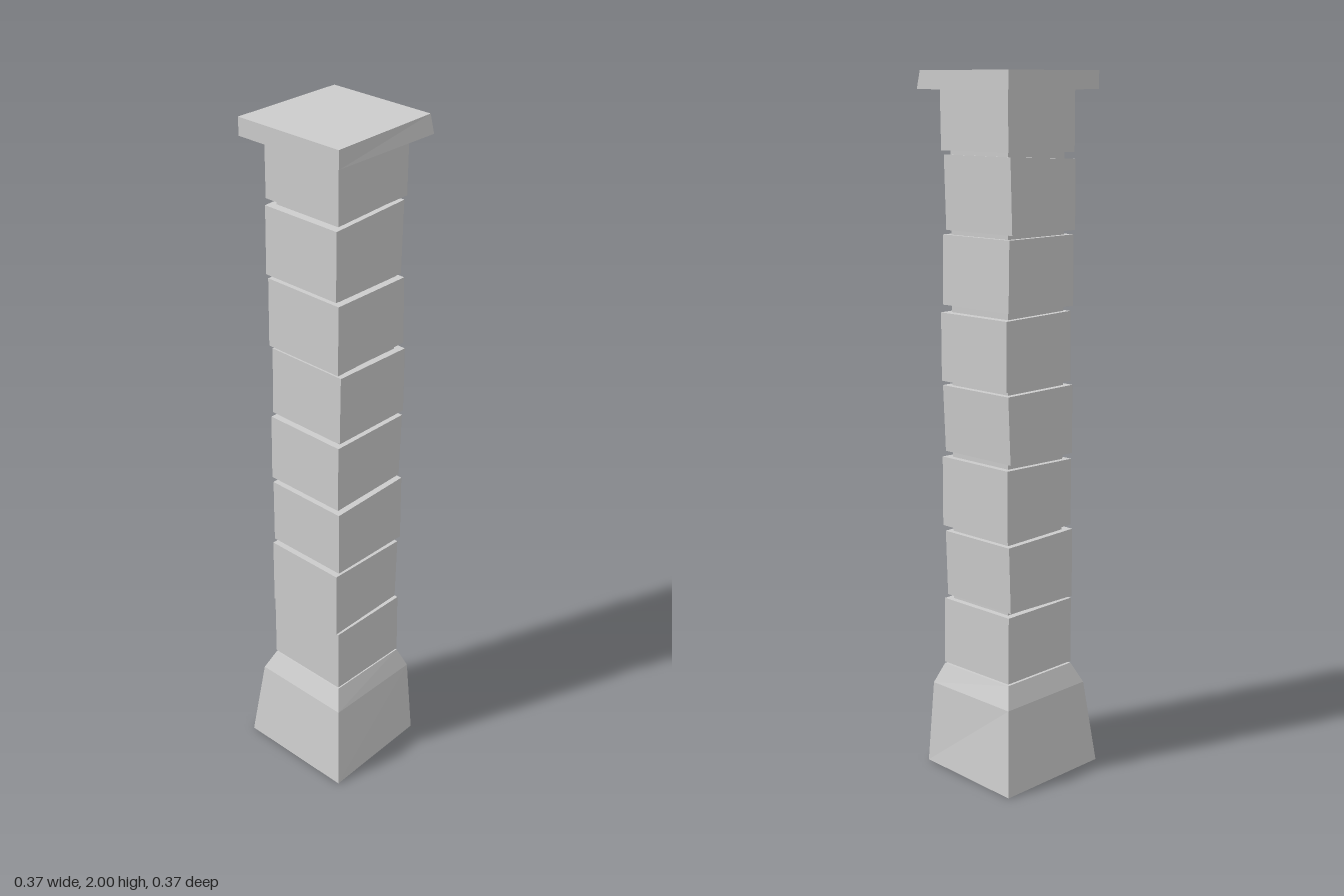
import * as THREE from 'three';

const material = new THREE.MeshStandardMaterial({ color: 0xcccccc, flatShading: true });

// Stack of four-cornered rings, lowest first. Corners run front-left, front-right, back-right, back-left.
function hewnStone(name, rings) {
  const pos = [];
  const quad = (a, b, c, d) => pos.push(...a, ...b, ...c, ...a, ...c, ...d);
  for (let i = 0; i < rings.length - 1; i++) {
    const lo = rings[i], hi = rings[i + 1];
    for (let k = 0; k < 4; k++) {
      const n = (k + 1) % 4;
      quad(lo[k], lo[n], hi[n], hi[k]);
    }
  }
  const b = rings[0], t = rings[rings.length - 1];
  quad(b[3], b[2], b[1], b[0]);
  quad(t[0], t[1], t[2], t[3]);
  const geometry = new THREE.BufferGeometry();
  geometry.setAttribute('position', new THREE.Float32BufferAttribute(pos, 3));
  geometry.computeVertexNormals();
  const mesh = new THREE.Mesh(geometry, material);
  mesh.name = name;
  return mesh;
}

// Rectangular ring; tilt raises the +x side and lowers the -x side, cut pulls in the front-right corner
function ring(y, x0, x1, z0, z1, tilt = 0, cutX = 0, cutZ = 0) {
  return [
    [x0, y - tilt, z1],
    [x1 - cutX, y + tilt, z1 - cutZ],
    [x1, y + tilt, z0],
    [x0, y - tilt, z0],
  ];
}

export function createModel() {
  const group = new THREE.Group();
  group.name = 'stonePillar';

  // Flared foot with a bevelled shoulder
  group.add(hewnStone('base', [
    ring(0, -0.185, 0.185, -0.185, 0.183, 0, 0.021, 0.015),
    ring(0.245, -0.157, 0.157, -0.157, 0.157, 0, 0.004, 0.003),
    ring(0.305, -0.13, 0.13, -0.13, 0.13),
  ]));

  // Narrow core seen in the joints
  const core = new THREE.Mesh(new THREE.BoxGeometry(0.22, 1.67, 0.22), material);
  core.name = 'core';
  core.position.y = 1.125;
  group.add(core);

  // Blocks: bottom, top, left bottom/top, right bottom/top, back, front, bottom tilt, top tilt
  const blocks = [
    [0.31, 0.505, -0.13, -0.13, 0.13, 0.128, -0.13, 0.13, 0, 0],
    [0.512, 0.71, -0.135, -0.135, 0.118, 0.125, -0.128, 0.127, 0.003, -0.002],
    [0.725, 0.924, -0.13, -0.13, 0.13, 0.13, -0.126, 0.132, 0, 0.004],
    [0.94, 1.135, -0.132, -0.13, 0.119, 0.128, -0.128, 0.13, 0.003, 0],
    [1.148, 1.344, -0.125, -0.121, 0.132, 0.133, -0.126, 0.13, 0, -0.002],
    [1.361, 1.558, -0.133, -0.131, 0.125, 0.122, -0.126, 0.131, 0.002, 0],
    [1.57, 1.77, -0.135, -0.133, 0.114, 0.121, -0.129, 0.126, 0, 0.006],
    [1.785, 1.955, -0.131, -0.131, 0.127, 0.13, -0.128, 0.13, 0.002, 0],
  ];
  blocks.forEach(([y0, y1, l0, l1, r0, r1, back, front, tilt0, tilt1], i) => {
    group.add(hewnStone(`block${i + 1}`, [
      ring(y0, l0, r0, back, front, tilt0),
      ring(y1, l1, r1, back, front, tilt1),
    ]));
  });

  // Flat capping slab
  group.add(hewnStone('cap', [
    ring(1.95, -0.175, 0.175, -0.175, 0.173),
    ring(2, -0.175, 0.175, -0.175, 0.173, 0, 0, 0.013),
  ]));

  return group;
}
